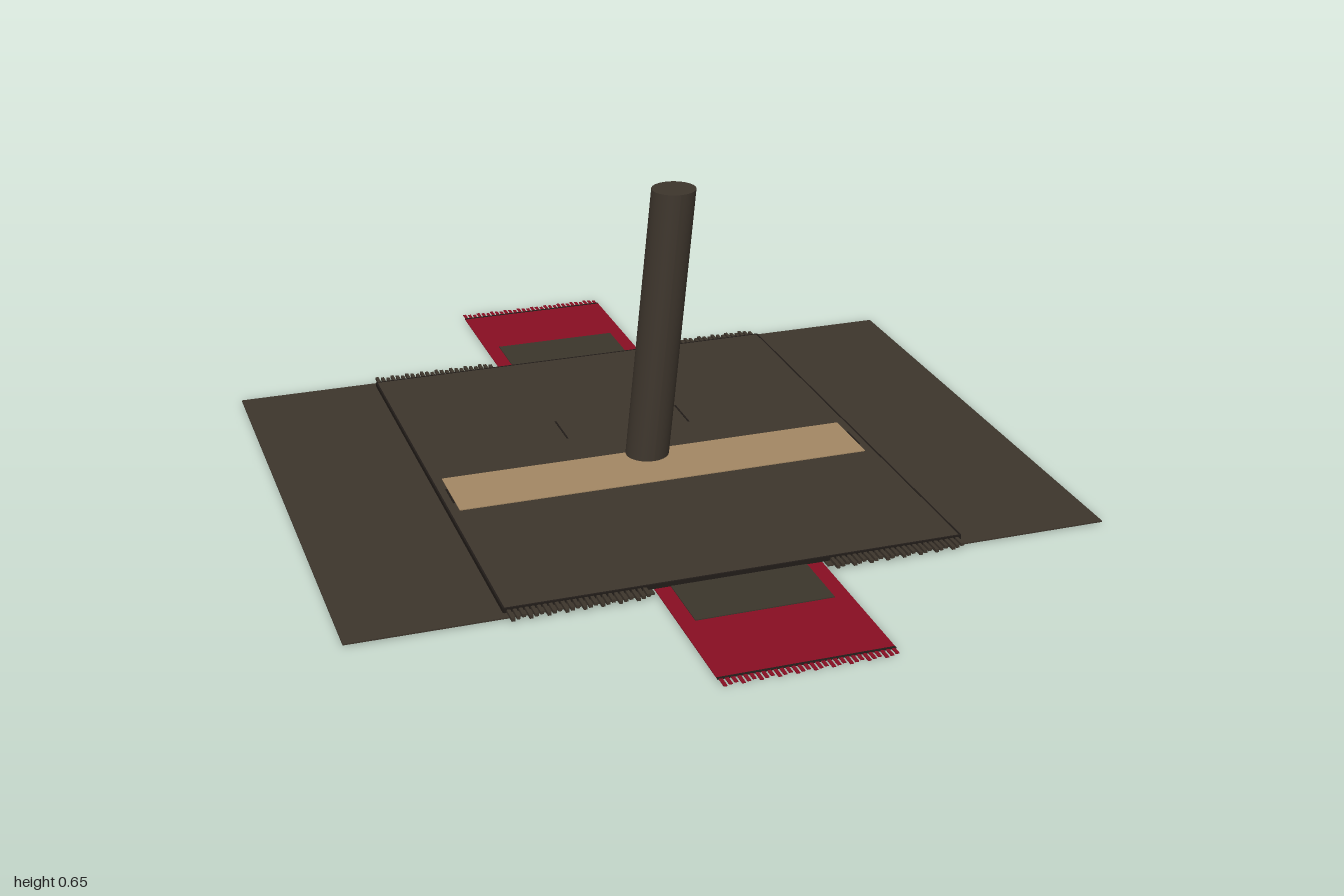
import * as THREE from 'three';
import { mergeGeometries } from 'three/addons/utils/BufferGeometryUtils.js';

const mat = (name, color) => {
  const m = new THREE.MeshStandardMaterial({ color });
  m.name = name;
  return m;
};

// Box given by its extents on each axis
function slab(x0, x1, y0, y1, z0, z1) {
  return new THREE.BoxGeometry(x1 - x0, y1 - y0, z1 - z0)
    .translate((x0 + x1) / 2, (y0 + y1) / 2, (z0 + z1) / 2);
}

// Row of short strands across x, growing outward from z in direction dir
function fringe(x0, x1, y0, y1, z, dir, length, count) {
  const strands = [];
  const step = (x1 - x0) / count;
  for (let i = 0; i < count; i++) {
    const x = x0 + (i + 0.5) * step;
    const end = z + dir * length * (1 - 0.25 * ((i * 7) % 3) / 2);
    strands.push(slab(x - step * 0.3, x + step * 0.3, y0, y1, Math.min(z, end), Math.max(z, end)));
  }
  return strands;
}

export function createModel() {
  const group = new THREE.Group();
  const brown = mat('dark brown cloth', 0x3d352c);
  const olive = mat('olive brown cloth', 0x3b352b);
  const tan = mat('tan cloth', 0xa38763);
  const red = mat('crimson cloth', 0x880e22);
  const seam = mat('black brown stitching', 0x211c18);

  const add = (name, material, parts) => {
    const mesh = new THREE.Mesh(mergeGeometries(parts), material);
    mesh.name = name;
    group.add(mesh);
  };

  // Wide ground cloth, one panel on each side of the runner
  add('groundCloth', brown, [-1, 1].map((s) =>
    slab(s < 0 ? -0.833 : 0.19, s < 0 ? -0.19 : 0.833, 0.003, 0.006, -0.62, 0.62)));

  // Long crimson runner and its fringed ends
  add('runner', red, [slab(-0.185, 0.185, 0.003, 0.005, -0.97, 0.97)]);
  add('runnerFringe', red, [-1, 1].flatMap((s) =>
    fringe(-0.185, 0.185, 0.003, 0.005, s * 0.97, s, 0.03, 30)));
  add('runnerHem', seam, [-1, 1].map((s) =>
    slab(-0.185, 0.185, 0.003, 0.0055, s * 0.97 - 0.003, s * 0.97 + 0.003)));

  // Narrow cloth lying on the runner
  add('innerRunner', olive, [slab(-0.15, 0.15, 0.005, 0.007, -0.75, 0.75)]);

  // Raised central mat with fringe at both ends
  add('centreMat', brown, [slab(-0.503, 0.503, 0.006, 0.016, -0.6, 0.6)]);
  add('matFringe', brown, [-1, 1].flatMap((s) => [-1, 1].flatMap((e) =>
    fringe(s < 0 ? -0.5 : 0.2, s < 0 ? -0.2 : 0.5, 0.006, 0.013, e * 0.6, e, 0.04, 24))));

  // Tan band and small seams on top of the mat
  add('tanBand', tan, [slab(-0.48, 0.48, 0.016, 0.018, -0.015, 0.15)]);
  add('matSeams', seam, [-1, 1].flatMap((s) => [
    slab(s * 0.15 - 0.002, s * 0.15 + 0.002, 0.015, 0.017, -0.235, -0.135),
    slab(s * 0.483 - 0.002, s * 0.483 + 0.002, 0.015, 0.018, 0.04, 0.11),
    slab(s * 0.503 - 0.002, s * 0.503 + 0.002, 0.006, 0.0165, -0.6, 0.6),
    slab(-0.503, 0.503, 0.006, 0.0165, s * 0.6 - 0.002, s * 0.6 + 0.002),
  ]));

  // Tan linings underneath
  add('runnerLining', tan, [slab(-0.168, 0.168, 0.001, 0.003, -0.81, 0.81)]);
  add('crossLining', tan, [-1, 1].flatMap((s) => [[-0.33, -0.015], [0.15, 0.31]].map(([a, b]) =>
    slab(s < 0 ? -0.49 : 0.19, s < 0 ? -0.19 : 0.49, 0.001, 0.003, a, b))));

  // Stitching and ring on the underside
  add('undersideStitching', seam, [-1, 1].flatMap((s) => [
    slab(s * 0.12 - 0.003, s * 0.12 + 0.003, 0, 0.0012, -0.6, 0.6),
    slab(-0.12, 0.12, 0, 0.0012, s * 0.6 - 0.003, s * 0.6 + 0.003),
    ...fringe(-0.165, 0.165, 0, 0.0012, s * 0.75, s, 0.02, 24),
  ]));
  add('undersideRing', seam, [
    new THREE.RingGeometry(0.047, 0.051, 32).rotateX(Math.PI / 2).translate(0, 0.0005, 0),
  ]);

  // Leaning post: a cylinder sheared sideways so both ends stay level
  const post = new THREE.CylinderGeometry(0.05, 0.05, 0.64, 32).translate(0, 0.33, 0);
  const lean = new THREE.Matrix4().makeShear(0, 0, 0.098, 0, 0, 0);
  const p = post.attributes.position;
  if (p) {
    for (let i = 0; i < p.count; i++) p.setX(i, p.getX(i) + 0.098 * (p.getY(i) - 0.01));
    post.computeVertexNormals();
  }
  add('leaningPost', brown, [post]);

  return group;
}
